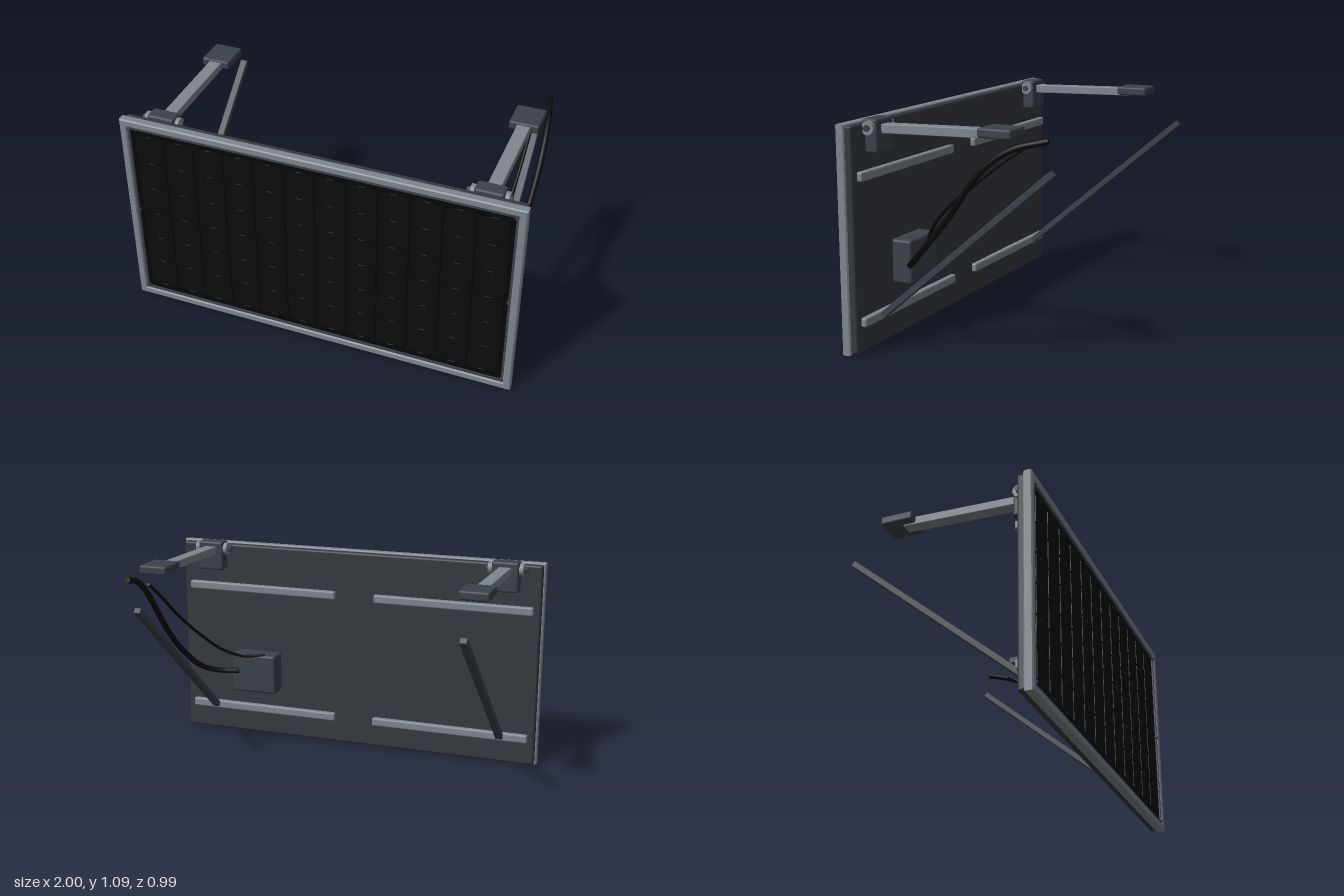
import * as THREE from 'three';
import { RoundedBoxGeometry } from 'three/addons/geometries/RoundedBoxGeometry.js';

const mat = (name, color) => {
  const m = new THREE.MeshStandardMaterial({ color });
  m.name = name;
  return m;
};

export function createModel() {
  const root = new THREE.Group();
  const alloy = mat('alloy grey', 0x7f878f);
  const steel = mat('dark steel', 0x3b424a);
  const backing = mat('back sheet', 0x353a3f);
  const glass = mat('black glass', 0x070707);
  const cellBlack = mat('cell black', 0x0d0d0e);
  const rubber = mat('cable rubber', 0x0a0a0a);

  const add = (parent, name, geometry, material, x = 0, y = 0, z = 0) => {
    const mesh = new THREE.Mesh(geometry, material);
    mesh.name = name;
    mesh.position.set(x, y, z);
    parent.add(mesh);
    return mesh;
  };
  // Box given by its limits, with softened edges
  const block = (parent, name, material, [x0, x1], [y0, y1], [z0, z1], r = 0.008) =>
    add(parent, name, new RoundedBoxGeometry(x1 - x0, y1 - y0, z1 - z0, 2, r), material,
      (x0 + x1) / 2, (y0 + y1) / 2, (z0 + z1) / 2);
  // Bar between two points of the side plane at a given x
  const bar = (parent, name, material, x, [y0, z0], [y1, z1], w, h) => {
    const length = Math.hypot(y1 - y0, z1 - z0);
    const mesh = add(parent, name, new RoundedBoxGeometry(w, h, length, 2, 0.004), material,
      x, (y0 + y1) / 2, (z0 + z1) / 2);
    mesh.rotation.x = Math.atan2(y1 - y0, z0 - z1);
    return mesh;
  };
  // Rectangular ring, extruded towards the front
  const ring = (x, y0, y1, width, depth, bevel) => {
    const b = bevel;
    const shape = new THREE.Shape([[-x + b, y0 + b], [x - b, y0 + b], [x - b, y1 - b], [-x + b, y1 - b]]
      .map(p => new THREE.Vector2(...p)));
    const i = width - b;
    shape.holes.push(new THREE.Path([[-x + i, y0 + i], [-x + i, y1 - i], [x - i, y1 - i], [x - i, y0 + i]]
      .map(p => new THREE.Vector2(x < i ? 0 : p[0], p[1]))));
    return new THREE.ExtrudeGeometry(shape, {
      depth: depth - 2 * b, bevelEnabled: b > 0, bevelSize: b, bevelThickness: b, bevelSegments: 1,
    }).translate(0, 0, b);
  };

  // Panel: outer frame, gasket, back tray and glass
  const panel = new THREE.Group();
  panel.name = 'panel';
  root.add(panel);
  add(panel, 'frame', ring(1, 0, 1.075, 0.038, 0.045, 0.006), alloy, 0, 0, 0.444);
  add(panel, 'gasket', ring(0.966, 0.034, 1.041, 0.016, 0.02, 0), steel, 0, 0, 0.462);
  block(panel, 'backTray', backing, [-0.99, 0.99], [0.007, 1.068], [0.412, 0.46], 0.012);
  add(panel, 'glass', new THREE.BoxGeometry(1.93, 1.0, 0.015), glass, 0, 0.5375, 0.467);

  // Solar cells, 12 by 6, with short contact strips on the row lines
  const pitchX = 0.155, pitchY = 0.1525, bottom = 0.08;
  const cell = new THREE.BoxGeometry(pitchX - 0.012, pitchY - 0.012, 0.004);
  const strip = new THREE.BoxGeometry(0.032, 0.0025, 0.002);
  for (let c = 0; c < 12; c++) {
    const x = (c - 5.5) * pitchX;
    for (let r = 0; r <= 6; r++) {
      const y = bottom + r * pitchY;
      if (r < 6) add(panel, 'cell', cell, cellBlack, x, y + pitchY / 2, 0.476);
      add(panel, 'contactStrip', strip, backing, x, y, 0.4755);
    }
  }
  // Frame screws
  const screw = new THREE.CylinderGeometry(0.009, 0.009, 0.018, 12).rotateX(Math.PI / 2);
  for (const x of [-0.952, 0.952])
    for (const y of [0.053, 0.54, 1.028]) add(panel, 'screw', screw, steel, x, y, 0.481);

  // Mounting rails on the back
  for (const y of [0.152, 0.833])
    for (const [x0, x1] of [[-0.955, -0.11], [0.105, 0.95]])
      block(root, 'rail', alloy, [x0, x1], [y - 0.022, y + 0.022], [0.387, 0.425], 0.009);

  // Wall brackets: clamp, hinge bolt, arm, foot and diagonal strut
  const bolt = new THREE.CylinderGeometry(0.032, 0.032, 0.18, 20).rotateZ(Math.PI / 2);
  const nut = new THREE.CylinderGeometry(0.016, 0.016, 0.21, 6).rotateZ(Math.PI / 2);
  for (const [name, x] of [['rightBracket', -0.811], ['leftBracket', 0.805]]) {
    const bracket = new THREE.Group();
    bracket.name = name;
    root.add(bracket);
    block(bracket, 'clamp', steel, [x - 0.07, x + 0.07], [0.932, 1.088], [0.35, 0.428], 0.012);
    add(bracket, 'hingeBolt', bolt, alloy, x, 1.048, 0.388);
    add(bracket, 'hingeNut', nut, steel, x - 0.004, 1.048, 0.388);
    bar(bracket, 'arm', alloy, x, [1.04, 0.37], [1.054, -0.22], 0.064, 0.042);
    block(bracket, 'foot', steel, [x - 0.073, x + 0.073], [1.04, 1.084], [-0.32, -0.157], 0.01);
    bar(bracket, 'strut', steel, x, [0.155, 0.382], [0.9, -0.488], 0.037, 0.03);
  }

  // Junction box and its two cables
  block(root, 'junctionBox', steel, [0.422, 0.672], [0.27, 0.486], [0.31, 0.42], 0.015);
  const cable = (name, radius, points) => {
    const curve = new THREE.CatmullRomCurve3(points.map(p => new THREE.Vector3(...p)));
    const mesh = add(root, name, new THREE.TubeGeometry(curve, 64, radius, 10), rubber);
    // Closed ends
    for (const t of [0, 1]) {
      const cap = add(mesh, 'cableEnd', new THREE.CircleGeometry(radius, 10), rubber);
      cap.position.copy(curve.getPoint(t));
      const out = curve.getTangent(t).multiplyScalar(t ? 1 : -1);
      cap.quaternion.setFromUnitVectors(new THREE.Vector3(0, 0, 1), out);
    }
  };
  cable('thickCable', 0.015, [
    [0.63, 0.392, 0.305], [0.72, 0.39, 0.28], [0.81, 0.42, 0.225], [0.865, 0.53, 0.11],
    [0.89, 0.69, -0.03], [0.9, 0.83, -0.13], [0.898, 0.93, -0.22], [0.885, 1.005, -0.335],
    [0.852, 1.046, -0.488],
  ]);
  cable('thinCable', 0.008, [
    [0.475, 0.495, 0.308], [0.58, 0.49, 0.262], [0.68, 0.535, 0.2], [0.765, 0.64, 0.1],
    [0.8, 0.73, 0], [0.81, 0.81, -0.1], [0.812, 0.9, -0.21], [0.812, 1.0, -0.35],
  ]);
  return root;
}
